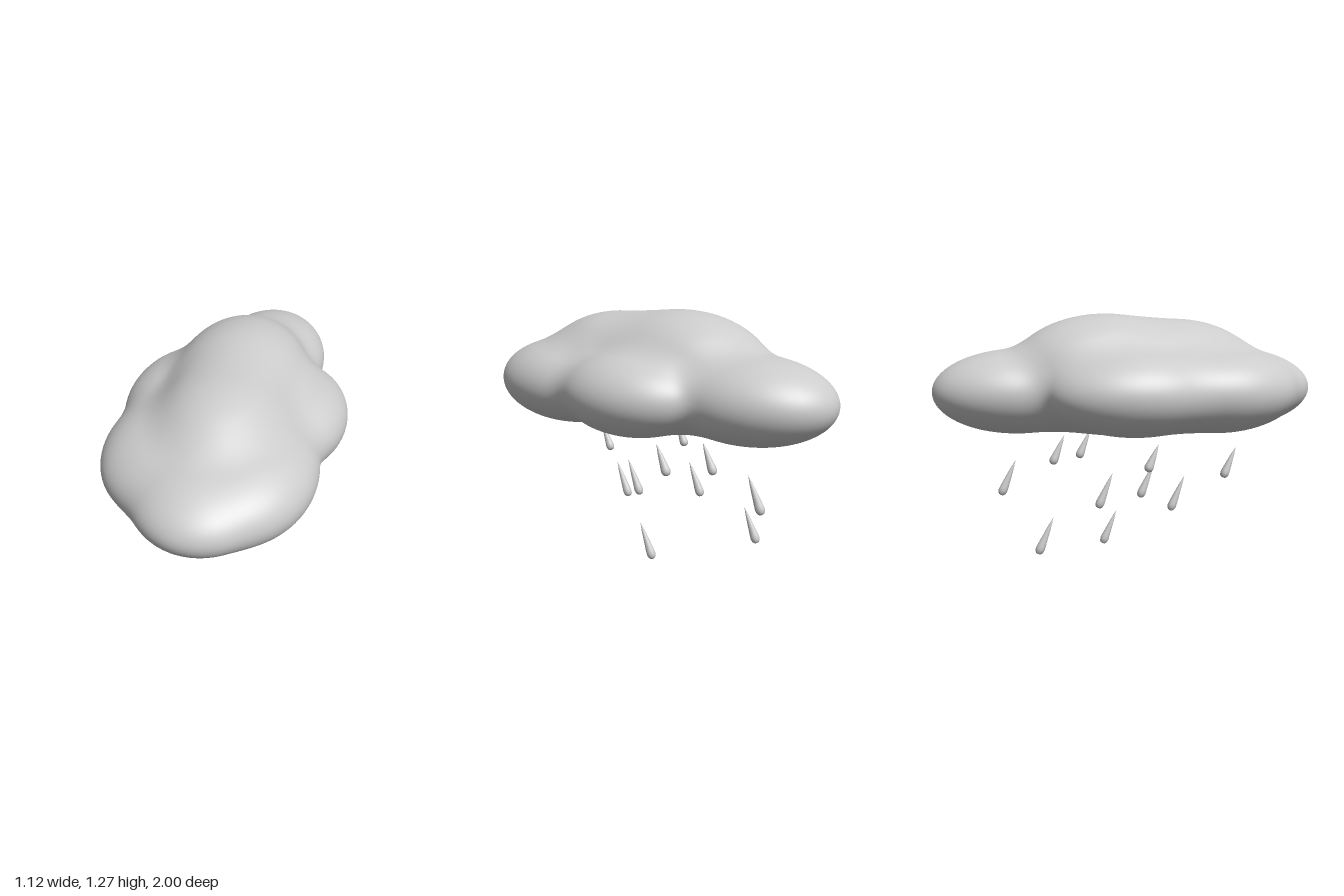
import * as THREE from 'three';
import { mergeVertices } from 'three/addons/utils/BufferGeometryUtils.js';

// Cloud puffs: centre x, y, z, then radii x, y, z
const PUFFS = [
  [0.25, 0.88, -0.03, 0.31, 0.215, 0.40], // left side
  [-0.25, 0.88, -0.03, 0.315, 0.215, 0.45], // right side
  [-0.24, 0.88, 0.39, 0.30, 0.21, 0.41],  // front right
  [0.2, 0.88, 0.44, 0.28, 0.21, 0.42],    // front left
  [0, 0.88, 0.5, 0.38, 0.22, 0.5],        // front
  [0, 0.95, 0.24, 0.34, 0.295, 0.47],     // front dome
  [0, 0.96, -0.13, 0.35, 0.31, 0.5],      // rear dome
  [0.067, 0.88, -0.56, 0.308, 0.215, 0.44], // back
];
const BLEND = 0.075;

// Approximate distance to the softly blended puffs
function cloudDistance(x, y, z) {
  let d = Infinity;
  for (const [cx, cy, cz, rx, ry, rz] of PUFFS) {
    const u = (x - cx) / rx, v = (y - cy) / ry, w = (z - cz) / rz;
    const k0 = Math.hypot(u, v, w);
    const k1 = Math.hypot(u / rx, v / ry, w / rz) || 1e-6;
    const e = k0 * (k0 - 1) / k1;
    const h = Math.max(BLEND - Math.abs(d - e), 0);
    d = Math.min(d, e) - (h * h) / (4 * BLEND);
  }
  return d;
}

// Shrink-wrap a sphere onto the puffs
function cloudGeometry() {
  let geo = new THREE.IcosahedronGeometry(1, 26);
  geo.deleteAttribute('uv');
  geo.deleteAttribute('normal');
  geo = mergeVertices(geo, 1e-4);
  const pos = geo.attributes.position;
  const dir = new THREE.Vector3();
  for (let i = 0; i < pos.count; i++) {
    dir.fromBufferAttribute(pos, i).normalize();
    dir.set(dir.x * 0.57, dir.y * 0.34, dir.z);
    const at = (t) => cloudDistance(dir.x * t, 0.9 + dir.y * t, dir.z * t);
    let outer = 1.4;
    while (outer > 0.1 && at(outer) > 0) outer -= 0.02;
    let inner = outer;
    outer += 0.02;
    for (let k = 0; k < 12; k++) {
      const mid = (inner + outer) / 2;
      if (at(mid) > 0) outer = mid; else inner = mid;
    }
    pos.setXYZ(i, dir.x * inner, 0.9 + dir.y * inner, dir.z * inner);
  }
  geo.computeVertexNormals();
  return geo;
}

// Raindrops: x, top y, bottom y, middle z
const DROPS = [
  [-0.255, 0.625, 0.488, 0.043],
  [-0.153, 0.575, 0.412, 0.503],
  [-0.097, 0.46, 0.28, -0.162],
  [-0.14, 0.26, 0.077, -0.482],
  [-0.01, 0.405, 0.217, 0.263],
  [0.074, 0.465, 0.28, 0.116],
  [0.096, 0.64, 0.485, -0.367],
  [0.096, 0.52, 0.337, -0.632],
  [0.244, 0.64, 0.485, -0.192],
  [0.2, 0.185, 0, -0.062],
];

export function createModel() {
  const material = new THREE.MeshStandardMaterial({ color: 0xcccccc });
  const group = new THREE.Group();

  const cloud = new THREE.Mesh(cloudGeometry(), material);
  cloud.name = 'cloud';
  group.add(cloud);

  // Teardrop of unit length, rounded at the bottom and pointed on top
  const profile = [
    [0, -0.5], [0.012, -0.485], [0.02, -0.44], [0.0235, -0.36], [0.022, -0.27],
    [0.016, -0.03], [0.009, 0.25], [0, 0.5],
  ].map(([r, y]) => new THREE.Vector2(r, y));
  const dropGeometry = new THREE.LatheGeometry(profile, 12);

  const rain = new THREE.Group();
  rain.name = 'rain';
  for (const [x, top, bottom, z] of DROPS) {
    const height = top - bottom, slant = 0.44 * height;
    const drop = new THREE.Mesh(dropGeometry, material);
    drop.name = 'raindrop';
    drop.position.set(x, (top + bottom) / 2, z);
    drop.scale.y = Math.hypot(height, slant);
    drop.rotation.x = Math.atan2(slant, height);
    rain.add(drop);
  }
  group.add(rain);
  return group;
}
